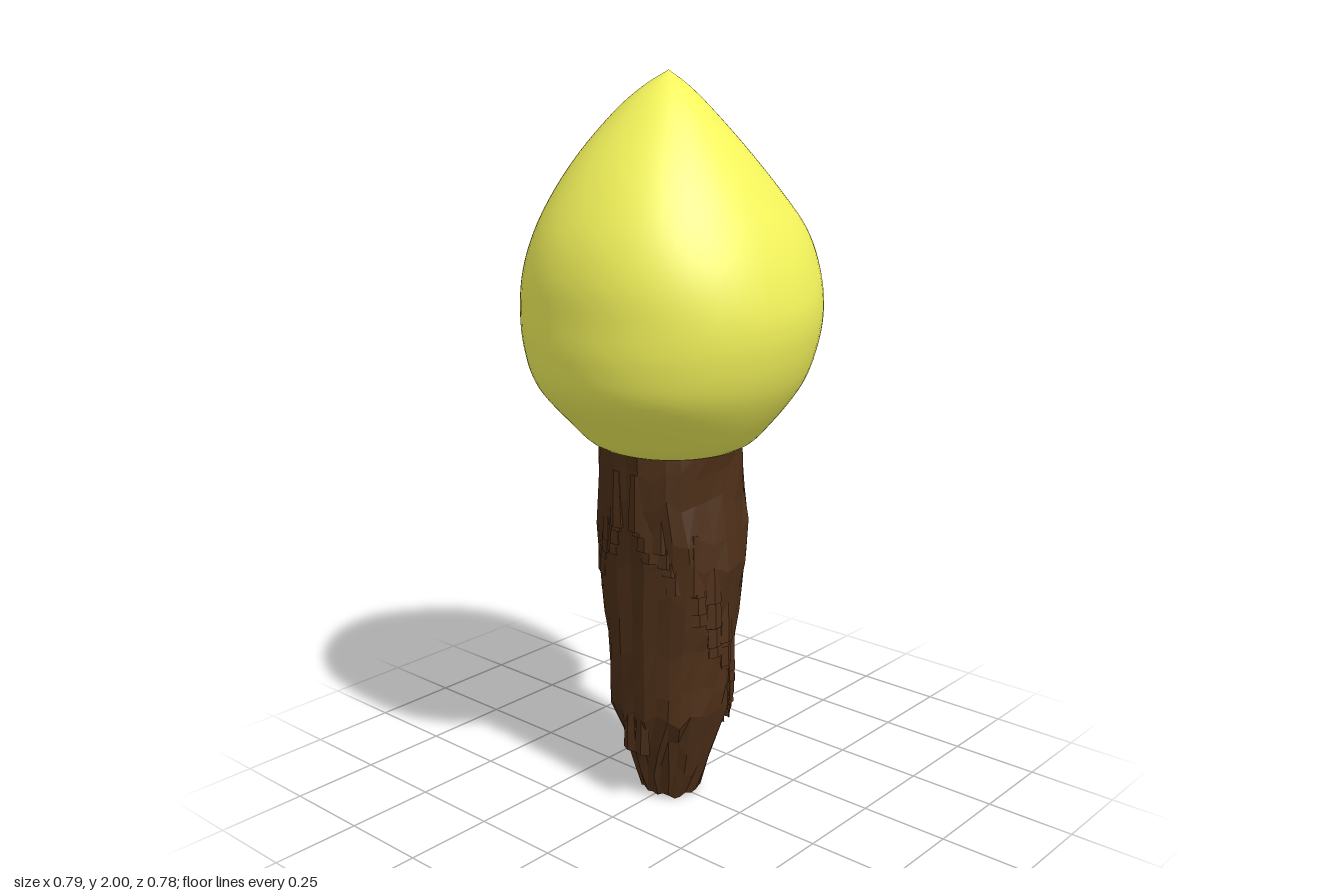
import * as THREE from 'three';

// Repeatable value in -1..1 for a pair of numbers
function noise(a, b) {
  const s = Math.sin(a * 127.1 + b * 311.7) * 43758.5453;
  return (s - Math.floor(s)) * 2 - 1;
}

// Smoothly resample sections of [y, halfWidth, frontZ, backZ]
function resample(sections, count) {
  const a = new THREE.CatmullRomCurve3(sections.map(s => new THREE.Vector3(s[0], s[1], 0)), false, 'catmullrom', 0.5);
  const b = new THREE.CatmullRomCurve3(sections.map(s => new THREE.Vector3(s[2], s[3], 0)), false, 'catmullrom', 0.5);
  return Array.from({ length: count + 1 }, (_, i) => {
    const p = a.getPoint(i / count), q = b.getPoint(i / count);
    return [p.x, Math.max(p.y, 0), q.x, q.y];
  });
}

// Skin closed rings from bottom to top; shape(point, row, angle) can roughen each point
function loft(rows, sides, power, shape) {
  const pos = [], index = [];
  const soft = v => Math.sign(v) * Math.pow(Math.abs(v), 2 / power);
  rows.forEach(([y, rx, zf, zb], j) => {
    for (let i = 0; i < sides; i++) {
      const a = (i / sides) * Math.PI * 2;
      const p = new THREE.Vector3(rx * soft(Math.sin(a)), y, (zf + zb) / 2 + (zf - zb) / 2 * soft(Math.cos(a)));
      if (shape) shape(p, j, Math.min(i, sides - i));
      pos.push(p.x, p.y, p.z);
    }
  });
  for (let j = 0; j < rows.length - 1; j++) {
    for (let i = 0; i < sides; i++) {
      const k = (i + 1) % sides, a = j * sides, b = a + sides;
      index.push(a + i, a + k, b + k, a + i, b + k, b + i);
    }
  }
  const g = new THREE.BufferGeometry();
  g.setAttribute('position', new THREE.Float32BufferAttribute(pos, 3));
  g.setIndex(index);
  g.computeVertexNormals();
  return g;
}

export function createModel() {
  const model = new THREE.Group();
  const yellow = new THREE.MeshStandardMaterial({ color: 0xf4f45c });
  const brown = new THREE.MeshStandardMaterial({ color: 0x4d2f18, flatShading: true, side: THREE.DoubleSide });
  const add = (name, geometry, material, parent = model) => {
    const mesh = new THREE.Mesh(geometry, material);
    mesh.name = name;
    parent.add(mesh);
    return mesh;
  };

  // Pointed bud, fuller at the front than at the back
  const bud = [
    [1.0, 0, 0, 0], [1.015, 0.1, 0.1, -0.1], [1.03, 0.2, 0.2, -0.2], [1.1, 0.275, 0.275, -0.265],
    [1.2, 0.345, 0.36, -0.345], [1.3, 0.382, 0.386, -0.376], [1.4, 0.394, 0.389, -0.388],
    [1.5, 0.376, 0.386, -0.386], [1.6, 0.337, 0.362, -0.357], [1.7, 0.28, 0.312, -0.277],
    [1.8, 0.21, 0.242, -0.187], [1.9, 0.125, 0.15, -0.093], [1.96, 0.06, 0.078, -0.035], [2.0, 0, 0.013, 0.013],
  ];
  add('bud', loft(resample(bud, 65), 72, 2.12), yellow);

  // Trunk with a ragged underside and faceted bark
  const trunk = [
    [0.02, 0, 0, 0], [0.01, 0.08, 0.085, -0.082], [0.1, 0.11, 0.108, -0.1], [0.18, 0.138, 0.135, -0.125],
    [0.27, 0.168, 0.162, -0.146], [0.36, 0.174, 0.163, -0.156], [0.46, 0.176, 0.164, -0.166],
    [0.54, 0.184, 0.167, -0.174], [0.63, 0.2, 0.171, -0.18], [0.72, 0.216, 0.173, -0.184],
    [0.8, 0.21, 0.178, -0.192], [0.9, 0.191, 0.19, -0.2], [0.98, 0.19, 0.19, -0.19], [1.03, 0.19, 0.19, -0.19],
    [1.05, 0, 0, 0],
  ];
  const roughen = (p, j, i) => {
    const k = 1 + 0.028 * noise(i, j) + 0.022 * noise(i, 50);
    p.x *= k;
    p.z *= k;
    if (j > 1 && j < 13) p.y += 0.025 * noise(i + 9, j);
    if (j === 1) p.y += 0.01 * noise(i, 3);
  };
  add('trunk', loft(trunk, 30, 2.15, roughen), brown);

  // Radius of the trunk at a height and an angle, for placing bark
  const surface = (y, a) => {
    let n = 1;
    while (n < 12 && trunk[n + 1][0] < y) n++;
    const t = (y - trunk[n][0]) / (trunk[n + 1][0] - trunk[n][0]);
    const [rx, zf, zb] = [1, 2, 3].map(c => THREE.MathUtils.lerp(trunk[n][c], trunk[n + 1][c], t));
    return [rx * Math.sin(a), (zf + zb) / 2 + (zf - zb) / 2 * Math.cos(a)];
  };

  // Thin bark plates, mirrored left and right
  const bark = new THREE.Group();
  bark.name = 'bark';
  model.add(bark);
  for (let n = 0; n < 34; n++) {
    const y = 0.24 + 0.7 * ((n * 0.618) % 1);
    const a = 0.15 + 2.85 * ((n * 0.377) % 1);
    for (const side of [1, -1]) {
      const [x, z] = surface(y, a * side);
      const plate = add('barkPlate', new THREE.CylinderGeometry(0.017, 0.027, 0.13 + 0.04 * noise(n, 1), 5), brown, bark);
      plate.scale.z = 0.45;
      plate.position.set(x * 0.985, y, z * 0.985);
      plate.rotation.y = a * side;
    }
  }

  // Torn splinters flaring out around the lower back
  for (const [a, y, out] of [[Math.PI, 0.15, 0.19], [2.75, 0.16, 0.17], [2.4, 0.2, 0.165], [2.0, 0.25, 0.17]]) {
    for (const side of a === Math.PI ? [1] : [1, -1]) {
      const tip = new THREE.Vector3(Math.sin(a) * side * out, y, Math.cos(a) * out);
      const [x, z] = surface(y + 0.1, a * side);
      const root = new THREE.Vector3(x * 0.85, y + 0.1, z * 0.85);
      const splinter = add('splinter', new THREE.ConeGeometry(0.04, tip.distanceTo(root), 5), brown, bark);
      splinter.position.copy(tip).lerp(root, 0.5);
      splinter.quaternion.setFromUnitVectors(new THREE.Vector3(0, 1, 0), tip.clone().sub(root).normalize());
    }
  }
  return model;
}
